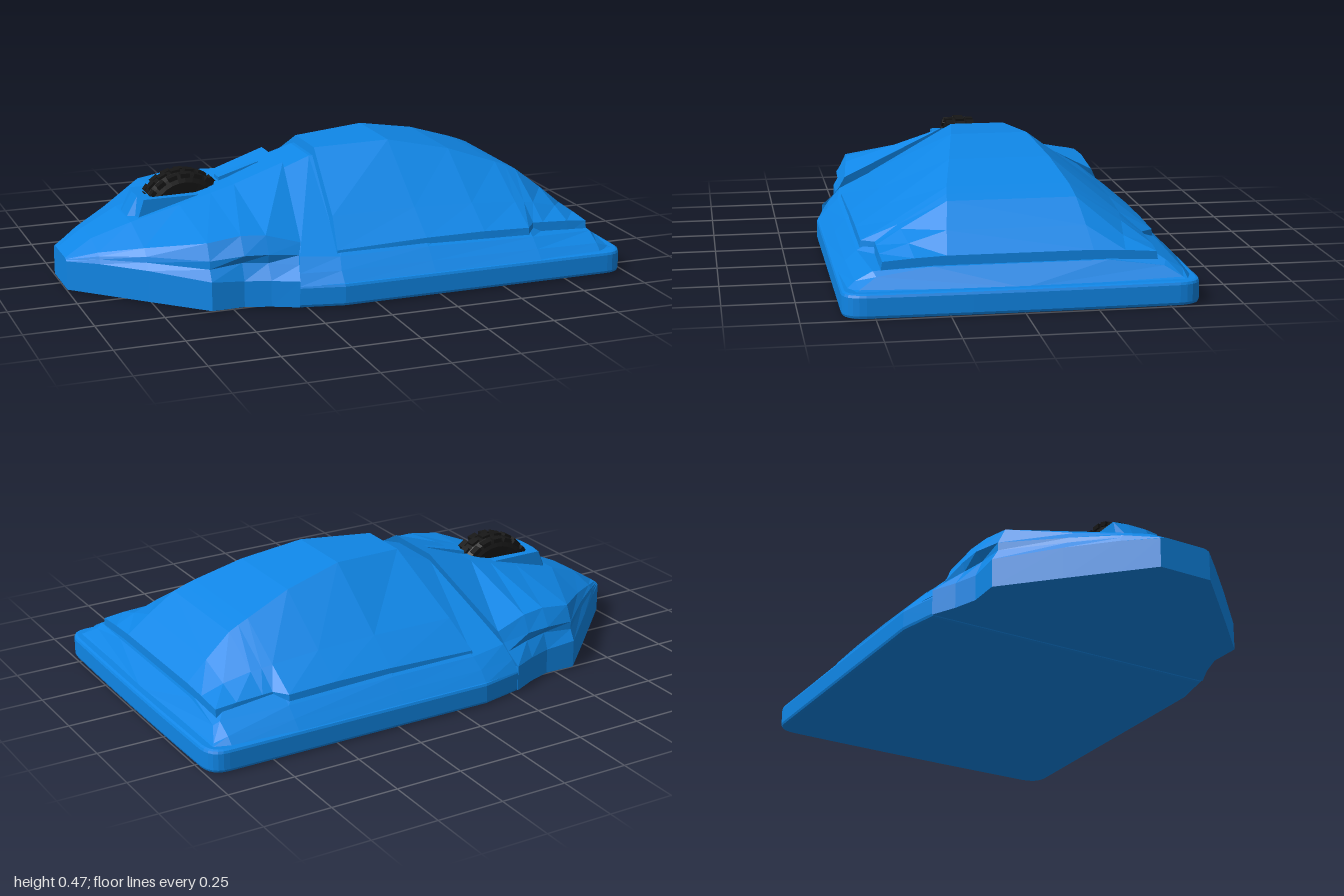
import * as THREE from 'three';

const blue = new THREE.MeshStandardMaterial({ color: 0x0f86e6, flatShading: true });
const black = new THREE.MeshStandardMaterial({ color: 0x161616, flatShading: true });

// Skin mirrored half-sections; each point is [x, y, z], listed from foot to crest.
function loft(halves) {
  const rings = halves.map(h => [...h, ...[...h].reverse().map(([x, y, z]) => [x, y, -z])]);
  const n = rings[0].length, pos = [];
  const tri = (a, b, c) => pos.push(...a, ...b, ...c);
  for (let j = 0; j < rings.length - 1; j++) {
    for (let i = 0; i < n; i++) {
      const k = (i + 1) % n, p = rings[j], q = rings[j + 1];
      tri(p[i], q[i], q[k]);
      tri(p[i], q[k], p[k]);
    }
  }
  const cap = (r, flip) => {
    const mid = [r[0][0], r[0][1], 0];
    for (let i = 0; i < n - 1; i++) flip ? tri(mid, r[i + 1], r[i]) : tri(mid, r[i], r[i + 1]);
  };
  cap(rings[0], false);
  cap(rings[rings.length - 1], true);
  const g = new THREE.BufferGeometry();
  g.setAttribute('position', new THREE.Float32BufferAttribute(pos, 3));
  g.computeVertexNormals();
  return g;
}

// Section at one x from [y, z] pairs.
const at = (x, ...pts) => pts.map(([y, z]) => [x, y, z]);

export function createModel() {
  const model = new THREE.Group();
  const add = (name, geometry, material = blue, parent = model) => {
    const m = new THREE.Mesh(geometry, material);
    m.name = name;
    parent.add(m);
    return m;
  };

  // Base plate under the rear, with rounded back corners
  const plan = new THREE.Shape();
  plan.moveTo(-0.28, -0.575);
  plan.lineTo(-0.12, -0.61);
  plan.lineTo(0.92, -0.61);
  plan.quadraticCurveTo(0.99, -0.61, 0.995, -0.53);
  plan.quadraticCurveTo(1.005, 0, 0.995, 0.53);
  plan.quadraticCurveTo(0.99, 0.61, 0.92, 0.61);
  plan.lineTo(-0.12, 0.61);
  plan.lineTo(-0.28, 0.575);
  const base = new THREE.ExtrudeGeometry(plan, {
    depth: 0.061, bevelThickness: 0.012, bevelSize: 0.012, bevelOffset: -0.012, bevelSegments: 2, curveSegments: 6,
  });
  base.rotateX(-Math.PI / 2).translate(0, 0.012, 0);
  add('basePlate', base);

  // Front shell: tapered nose, side grips and a raised lip at the seam
  add('frontShell', loft([
    at(-1, [0.005, 0.1], [0.112, 0.1], [0.115, 0.095], [0.117, 0.09], [0.12, 0.08], [0.12, 0.05]),
    at(-0.9, [0.005, 0.198], [0.12, 0.198], [0.135, 0.19], [0.145, 0.185], [0.155, 0.17], [0.18, 0.07]),
    at(-0.76, [0.005, 0.335], [0.12, 0.335], [0.145, 0.315], [0.165, 0.31], [0.19, 0.285], [0.238, 0.11]),
    at(-0.58, [0.005, 0.508], [0.11, 0.508], [0.15, 0.485], [0.18, 0.485], [0.238, 0.457], [0.287, 0.12]),
    at(-0.46, [0.005, 0.505], [0.1, 0.505], [0.16, 0.48], [0.192, 0.505], [0.255, 0.465], [0.32, 0.12]),
    at(-0.37, [0.005, 0.535], [0.1, 0.535], [0.155, 0.5], [0.188, 0.508], [0.25, 0.475], [0.345, 0.12]),
    [[-0.28, 0.005, 0.578], [-0.278, 0.1, 0.578], [-0.265, 0.145, 0.53], [-0.258, 0.175, 0.51],
      [-0.245, 0.215, 0.49], [-0.18, 0.41, 0.12]],
  ]));

  // Rear shell: sloping shoulder that carries the palm cover
  add('rearShell', loft([
    [[-0.28, 0.08, 0.575], [-0.27, 0.12, 0.55], [-0.255, 0.17, 0.51], [-0.19, 0.38, 0.11]],
    [[-0.12, 0.08, 0.605], [-0.12, 0.12, 0.57], [-0.11, 0.16, 0.53], [-0.07, 0.42, 0.1]],
    at(0.23, [0.08, 0.605], [0.118, 0.57], [0.16, 0.53], [0.44, 0.13]),
    at(0.65, [0.08, 0.605], [0.115, 0.57], [0.15, 0.53], [0.32, 0.2]),
    at(0.9, [0.08, 0.59], [0.108, 0.56], [0.14, 0.5], [0.15, 0.3]),
    [[0.97, 0.08, 0.565], [0.95, 0.09, 0.55], [0.922, 0.125, 0.49], [0.912, 0.15, 0.3]],
  ]));

  // Domed palm cover, stepped in at its back corners
  add('palmCover', loft([
    [[-0.12, 0.145, 0.52], [-0.115, 0.178, 0.515], [-0.09, 0.27, 0.4], [-0.05, 0.45, 0.1]],
    at(0.23, [0.145, 0.52], [0.188, 0.515], [0.272, 0.4], [0.465, 0.14]),
    at(0.46, [0.145, 0.52], [0.188, 0.515], [0.265, 0.4], [0.42, 0.18]),
    at(0.64, [0.145, 0.52], [0.182, 0.515], [0.25, 0.395], [0.36, 0.215]),
    at(0.68, [0.13, 0.475], [0.185, 0.47], [0.243, 0.39], [0.345, 0.22]),
    at(0.72, [0.13, 0.475], [0.183, 0.47], [0.237, 0.385], [0.328, 0.225]),
    at(0.82, [0.13, 0.475], [0.178, 0.47], [0.21, 0.37], [0.25, 0.24]),
    at(0.9, [0.13, 0.475], [0.17, 0.468], [0.178, 0.36], [0.183, 0.25]),
  ]));

  // Wheel housing: pointed frame with a slot
  const frame = new THREE.Shape([[-0.79, -0.04], [-0.75, -0.1], [-0.44, -0.1], [-0.39, -0.06],
    [-0.39, 0.06], [-0.44, 0.1], [-0.75, 0.1], [-0.79, 0.04]].map(p => new THREE.Vector2(...p)));
  frame.holes.push(new THREE.Path([[-0.71, -0.07], [-0.71, 0.07], [-0.37 - 0.03, 0.055], [-0.4, -0.055]]
    .map(p => new THREE.Vector2(...p))));
  const housing = new THREE.ExtrudeGeometry(frame, { depth: 0.13, bevelEnabled: false });
  housing.rotateX(-Math.PI / 2).translate(0, 0.18, 0);
  const hp = housing.attributes.position;
  for (let i = 0; i < hp.count; i++) {
    // Slope the front and draw the upper rim inward
    if (hp.getY(i) > 0.3) {
      if (hp.getX(i) < -0.7) hp.setX(i, Math.max(hp.getX(i), -0.76) + 0.045);
      hp.setZ(i, hp.getZ(i) * 0.92);
    }
  }
  housing.computeVertexNormals();
  add('wheelHousing', housing);

  // Narrow ridge behind the wheel
  add('centreRidge', loft([
    at(-0.4, [0.3, 0.03], [0.35, 0.025]),
    at(-0.24, [0.36, 0.015], [0.392, 0.012]),
  ]));

  // Scroll wheel with staggered tread blocks
  const wheel = new THREE.Group();
  wheel.name = 'scrollWheel';
  wheel.position.set(-0.535, 0.22, 0);
  model.add(wheel);
  const tyre = new THREE.LatheGeometry([[0, -0.05], [0.13, -0.055], [0.155, -0.045], [0.163, -0.02],
    [0.163, 0.02], [0.155, 0.045], [0.13, 0.055], [0, 0.05]].map(p => new THREE.Vector2(...p)), 32);
  add('tyre', tyre.rotateX(Math.PI / 2), black, wheel);
  const count = 20;
  for (let i = 0; i < count; i++) {
    for (const side of [-1, 0, 1]) {
      const a = ((i + (side ? 0 : 0.5)) / count) * Math.PI * 2;
      const r = side ? 0.155 : 0.163;
      const block = add('treadBlock', new THREE.BoxGeometry(0.016, 0.034, side ? 0.03 : 0.034), black, wheel);
      block.position.set(Math.cos(a) * r, Math.sin(a) * r, side * 0.041);
      block.rotation.z = a;
    }
  }
  return model;
}
